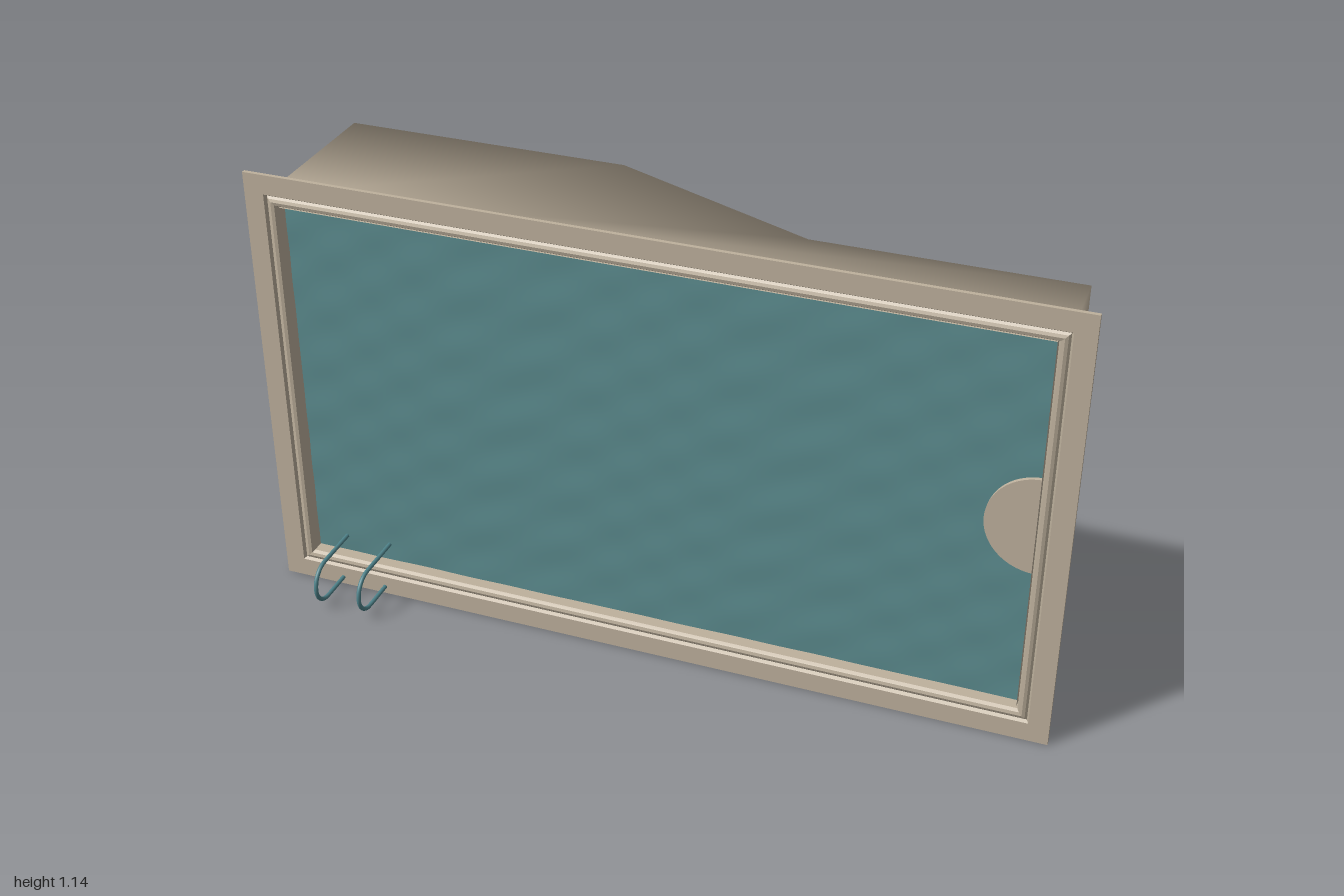
import * as THREE from 'three';

const H = 1.14; // overall height

// Mesh from points and triangle indices; smooth keeps the shared corners
function build(points, index, material, name, smooth) {
  let geo = new THREE.BufferGeometry();
  geo.setAttribute('position', new THREE.Float32BufferAttribute(points.flat(), 3));
  geo.setIndex(index);
  if (!smooth) geo = geo.toNonIndexed();
  geo.computeVertexNormals();
  const mesh = new THREE.Mesh(geo, material);
  mesh.name = name;
  return mesh;
}

// Basin shell: stepped depth outline (x, z) extruded along y, open at the front
function makeBasin(material) {
  const outline = [[-0.945, 0.14], [-0.945, -0.295], [-0.22, -0.295], [0.31, -0.07], [0.945, -0.07], [0.945, 0.14]];
  const points = [], index = [];
  for (const [x, z] of outline) points.push([x, 0.058, z], [x, 1.09, z]);
  for (let i = 0; i < outline.length - 1; i++) {
    const b = i * 2;
    index.push(b, b + 1, b + 2, b + 2, b + 1, b + 3);
    if (i > 0) index.push(0, b, b + 2, 1, b + 3, b + 1);
  }
  return build(points, index, material, 'basinShell', true);
}

// Coping: profile (inset, z) swept round a mitred rectangle
function makeCoping(material) {
  const profile = [[0, 0.14], [0, 0.15], [0.05, 0.15], [0.055, 0.142], [0.06, 0.147], [0.067, 0.15],
    [0.075, 0.148], [0.08, 0.14], [0.08, 0.1], [0.083, 0.1], [0.083, 0.14]];
  const n = profile.length, points = [], index = [];
  for (const [sx, sy] of [[-1, -1], [1, -1], [1, 1], [-1, 1]])
    for (const [d, z] of profile) points.push([sx * (1 - d), H / 2 + sy * (H / 2 - d), z]);
  for (let c = 0; c < 4; c++)
    for (let j = 0; j < n; j++) {
      const k = (j + 1) % n, e = ((c + 1) % 4) * n;
      index.push(c * n + j, e + j, c * n + k, c * n + k, e + j, e + k);
    }
  return build(points, index, material, 'coping', false);
}

// Water sheet with faint diagonal ripples
function makeWater(material) {
  const geo = new THREE.PlaneGeometry(1.84, 0.98, 90, 48);
  const p = geo.attributes.position;
  for (let i = 0; i < p.count; i++) {
    const x = p.getX(i), y = p.getY(i);
    p.setZ(i, 0.0007 * Math.sin(14 * x + 38 * y + 2 * Math.sin(9 * x)) + 0.0005 * Math.sin(31 * x - 47 * y));
  }
  geo.computeVertexNormals();
  const water = new THREE.Mesh(geo, material);
  water.name = 'water';
  water.position.set(0, H / 2, 0.11);
  return water;
}

// Half-round entry step at the shallow end
function makeStep(material) {
  const shape = new THREE.Shape();
  shape.absarc(0, 0, 0.125, Math.PI / 2, Math.PI * 1.5, false);
  shape.closePath();
  const geo = new THREE.ExtrudeGeometry(shape, { depth: 0.06, bevelEnabled: false, curveSegments: 32 });
  const step = new THREE.Mesh(geo, material);
  step.name = 'entryStep';
  step.position.set(0.92, 0.575, 0.06);
  return step;
}

// U-shaped handrail standing out from the coping
function makeRail(x, material) {
  const points = [new THREE.Vector3(x, 0.02, 0.1), new THREE.Vector3(x, 0.02, 0.17)];
  for (let i = 0; i <= 12; i++) {
    const a = -Math.PI / 2 + (Math.PI * i) / 12;
    points.push(new THREE.Vector3(x, 0.0725 + 0.0525 * Math.sin(a), 0.235 + 0.0525 * Math.cos(a)));
  }
  points.push(new THREE.Vector3(x, 0.125, 0.17), new THREE.Vector3(x, 0.125, 0.1));
  const group = new THREE.Group();
  group.name = 'handrail';
  group.add(new THREE.Mesh(new THREE.TubeGeometry(new THREE.CatmullRomCurve3(points), 48, 0.0055, 10), material));
  // End caps
  for (const y of [0.02, 0.125]) {
    const cap = new THREE.Mesh(new THREE.CircleGeometry(0.0055, 10), material);
    cap.position.set(x, y, 0.1);
    cap.rotation.y = Math.PI;
    group.add(cap);
  }
  return group;
}

export function createModel() {
  const stone = new THREE.MeshStandardMaterial({ color: 0xbeb19d });
  stone.name = 'stone';
  const waterBlue = new THREE.MeshStandardMaterial({ color: 0x5c8c8f });
  waterBlue.name = 'waterBlue';
  const railBlue = new THREE.MeshStandardMaterial({ color: 0x4f838b });
  railBlue.name = 'railBlue';

  const pool = new THREE.Group();
  pool.name = 'swimmingPool';
  pool.add(makeBasin(stone), makeCoping(stone), makeWater(waterBlue), makeStep(stone));
  for (const x of [-0.838, -0.718]) pool.add(makeRail(x, railBlue));
  return pool;
}
